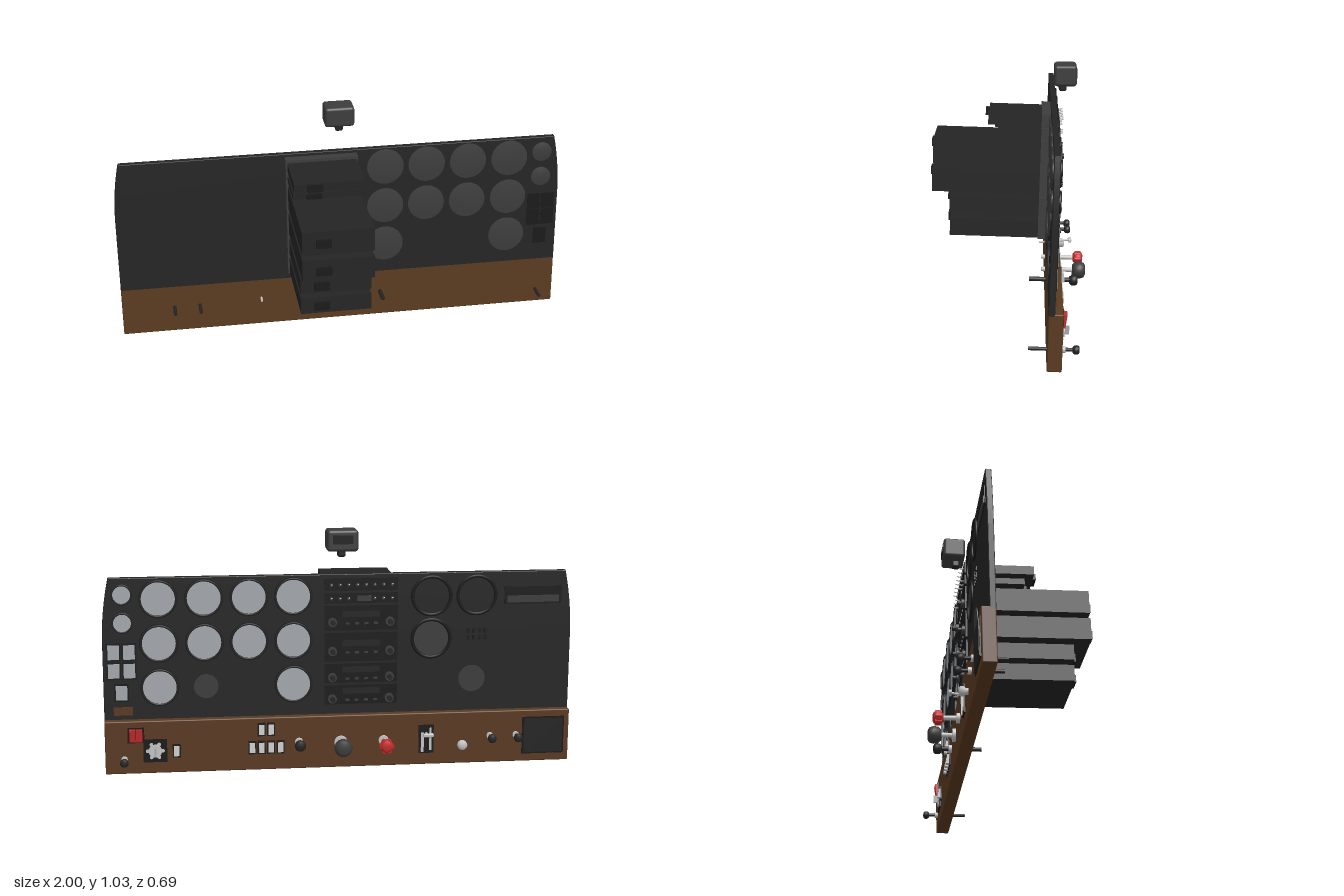
import * as THREE from 'three';
import { RoundedBoxGeometry } from 'three/addons/geometries/RoundedBoxGeometry.js';

const material = (name, color, side = THREE.FrontSide) => {
  const m = new THREE.MeshStandardMaterial({ color, side });
  m.name = name;
  return m;
};

export function createModel() {
  const model = new THREE.Group();
  model.name = 'instrumentPanel';
  const black = material('panelBlack', 0x242424);
  const deep = material('deepBlack', 0x191919);
  const grey = material('darkGrey', 0x3c3c3c);
  const wood = material('wood', 0x5a3a20);
  const dial = material('dialGrey', 0xa4a9af);
  const silver = material('silver', 0xc4c4c4);
  const red = material('red', 0xc42a2a);

  // Everything but the compass leans back slightly; the pilot's side is -z
  const panel = new THREE.Group();
  panel.name = 'leaningPanel';
  panel.position.z = -0.178;
  panel.rotation.x = -0.03;
  model.add(panel);
  const FACE = -0.0125, BACK = 0.0125, WOOD = -0.0455;

  const add = (name, geo, mat, x, y, z, parent = panel) => {
    const m = new THREE.Mesh(geo, mat);
    m.name = name;
    m.position.set(x, y, z);
    parent.add(m);
    return m;
  };
  // Box between depths z0 < z1
  const box = (name, mat, x, y, w, h, z0, z1) =>
    add(name, new THREE.BoxGeometry(w, h, z1 - z0), mat, x, y, (z0 + z1) / 2);
  // Cylinder lying along z
  const rod = (name, mat, x, y, r, z0, z1, sides = 32) =>
    add(name, new THREE.CylinderGeometry(r, r, z1 - z0, sides).rotateX(Math.PI / 2), mat, x, y, (z0 + z1) / 2);
  // Turned part growing towards the pilot from depth z; profile is [radius, distance]
  const turned = (name, mat, x, y, z, profile) =>
    add(name, new THREE.LatheGeometry(profile.map(p => new THREE.Vector2(...p)), 24).rotateX(-Math.PI / 2), mat, x, y, z);
  const ring = (name, mat, x, y, r, tube, z) =>
    add(name, new THREE.TorusGeometry(r, tube, 8, 40), mat, x, y, z);
  const rounded = (name, mat, x, y, w, h, z0, z1, r) =>
    add(name, new RoundedBoxGeometry(w, h, z1 - z0, 3, r), mat, x, y, (z0 + z1) / 2);

  // Main board with curved upper ends
  const s = new THREE.Shape();
  s.moveTo(-1, 0.225);
  s.lineTo(1, 0.225);
  s.lineTo(1, 0.58);
  s.quadraticCurveTo(0.998, 0.71, 0.97, 0.84);
  s.lineTo(-0.97, 0.84);
  s.quadraticCurveTo(-0.998, 0.71, -1, 0.58);
  const board = new THREE.ExtrudeGeometry(s, {
    depth: 0.019, bevelEnabled: true, bevelSize: 0.003, bevelOffset: -0.003, bevelThickness: 0.003, bevelSegments: 2,
  });
  add('mainBoard', board, black, 0, 0, -0.0095);
  rounded('woodenLowerPanel', wood, 0, 0.118, 2, 0.23, WOOD, 0.0125, 0.005);

  // Round instruments: dished can at the back, ring and dial at the pilot's side
  const gauge = (x, y, r) => {
    const can = add('instrumentBack', new THREE.LatheGeometry(
      [[r, 0], [r, 0.008], [0, 0.008]].map(p => new THREE.Vector2(...p)), 40).rotateX(Math.PI / 2), grey, x, y, BACK);
    can.material = grey;
    rod('instrumentBezel', deep, x, y, r, FACE - 0.004, FACE, 40);
    rod('instrumentDial', dial, x, y, r * 0.86, FACE - 0.006, FACE - 0.003, 40);
    ring('instrumentRim', black, x, y, r * 0.92, 0.004, FACE - 0.005);
  };
  for (const x of [0.2, 0.387, 0.575, 0.765]) for (const y of [0.75, 0.56]) gauge(x, y, 0.082);
  for (const x of [0.2, 0.765]) gauge(x, 0.37, 0.082);
  for (const y of [0.77, 0.65]) gauge(0.915, y, 0.044);

  // Rectangular instruments
  for (const [x, y] of [[0.89, 0.525], [0.955, 0.525], [0.89, 0.445], [0.955, 0.445], [0.925, 0.35]]) {
    box('smallInstrumentCase', deep, x, y, 0.06, 0.076, FACE - 0.004, BACK + 0.003);
    box('smallInstrumentDial', dial, x, y, 0.048, 0.062, FACE - 0.006, FACE - 0.003);
  }
  box('brownPlacard', wood, 0.92, 0.27, 0.08, 0.035, FACE - 0.006, FACE);

  // Blank covers and empty instrument places
  for (const [x, y] of [[-0.39, 0.74], [-0.585, 0.74], [-0.39, 0.555]]) {
    ring('blankRing', deep, x, y, 0.082, 0.007, FACE - 0.002);
    if (y < 0.6) rod('blankCover', grey, x, y, 0.074, FACE - 0.003, FACE);
  }
  rod('smallCover', grey, 0.57, 0.37, 0.052, FACE - 0.004, FACE);
  rod('smallCover', grey, -0.57, 0.375, 0.058, FACE - 0.004, FACE);
  box('slotFrame', deep, -0.83, 0.735, 0.25, 0.075, FACE - 0.004, FACE);
  box('slotLid', grey, -0.83, 0.72, 0.225, 0.03, FACE - 0.007, FACE);
  for (let i = 0; i < 4; i++) for (const y of [0.555, 0.585])
    box('ventSlat', deep, -0.55 - i * 0.025, y, 0.012, 0.02, FACE - 0.004, FACE);

  // Radio stack: [tray bottom, tray top, box bottom, box top, box rear]
  const X = -0.088;
  const radios = [
    [0.766, 0.825, 0.772, 0.812, 0.282], [0.712, 0.762, 0.723, 0.75, 0.24],
    [0.595, 0.708, 0.595, 0.7, 0.517], [0.46, 0.591, 0.47, 0.57, 0.519],
    [0.366, 0.456, 0.373, 0.443, 0.44], [0.272, 0.362, 0.275, 0.348, 0.437],
  ];
  radios.forEach(([t0, t1, b0, b1, rear], i) => {
    const ty = (t0 + t1) / 2, by = (b0 + b1) / 2, bh = b1 - b0;
    box('radioTray', grey, X, ty, 0.32, t1 - t0, BACK - 0.002, 0.052);
    box('radioBody', black, X, by, 0.305, bh, 0.04, rear);
    box('radioConnector', deep, -0.15, by, 0.066, Math.min(0.034, bh * 0.7), rear, rear + 0.016);
    box('radioFace', deep, X, ty, 0.312, t1 - t0 - 0.008, FACE - 0.008, FACE);
    if (i < 2) {
      // Row of small toggles
      for (let k = 0; k < 8; k++) {
        const x = 0.04 - k * 0.037;
        if (i === 1 && k > 2 && k < 5) continue;
        rod('toggleNut', grey, x, ty, 0.007, FACE - 0.014, FACE, 12);
        const t = rod('toggleLever', silver, x, ty + 0.003, 0.0025, FACE - 0.03, FACE - 0.01, 8);
        t.rotation.x = 0.25;
      }
      if (i === 1) box('radioDisplay', grey, -0.1, ty, 0.06, 0.024, FACE - 0.012, FACE);
    } else {
      for (const x of [0.035, -0.21]) {
        rod('radioOuterKnob', grey, x, ty - 0.015, 0.019, FACE - 0.022, FACE, 20);
        rod('radioInnerKnob', black, x, ty - 0.015, 0.011, FACE - 0.037, FACE, 20);
      }
      box('radioWindow', black, X, ty + 0.018, 0.16, 0.026, FACE - 0.011, FACE);
      for (const x of [-0.03, -0.07, -0.11, -0.15])
        box('radioButton', grey, x, ty - 0.022, 0.016, 0.009, FACE - 0.013, FACE);
    }
  });

  // Push-pull controls: shaft through the wood, collar and knob
  const control = (name, x, y, mat, r, end, rear, shaftMat = black) => {
    rod(name + 'Collar', silver, x, y, r * 0.75, WOOD - 0.014, WOOD, 20);
    rod(name + 'Shaft', shaftMat, x, y, Math.min(0.01, r * 0.4), WOOD - end + 0.01, rear, 16);
    const d = r * 1.5;
    turned(name + 'Knob', mat, x, y, WOOD - end + d,
      [[0, 0], [r * 0.6, 0], [r * 0.95, d * 0.25], [r, d * 0.6], [r * 0.85, d * 0.9], [r * 0.55, d], [0, d]]);
  };
  control('cabinHeat', -0.765, 0.125, black, 0.019, 0.068, 0.085);
  control('cabinAir', -0.65, 0.125, black, 0.019, 0.068, 0.085);
  control('mixture', -0.185, 0.118, red, 0.029, 0.112, 0.03, silver);
  control('throttle', 0, 0.115, grey, 0.038, 0.118, 0.03, silver);
  control('carburettorHeat', 0.18, 0.122, black, 0.024, 0.08, 0.085);
  control('parkingBrake', 0.92, 0.068, black, 0.018, 0.068, 0.085);
  for (let i = 0; i < 6; i++) {
    const a = i * Math.PI / 3;
    rod('mixtureGrip', red, -0.185 + 0.022 * Math.cos(a), 0.118 + 0.022 * Math.sin(a), 0.01, WOOD - 0.104, WOOD - 0.076, 12);
  }
  turned('primerKnob', silver, -0.525, 0.092, WOOD, [[0.014, 0], [0.014, 0.012], [0.021, 0.018], [0.021, 0.032], [0.012, 0.038], [0, 0.038]]);

  // Flap selector with lever
  box('flapPlate', deep, -0.37, 0.118, 0.065, 0.125, WOOD - 0.006, WOOD);
  box('flapScale', silver, -0.388, 0.118, 0.01, 0.1, WOOD - 0.009, WOOD);
  box('flapGuide', silver, -0.353, 0.105, 0.012, 0.085, WOOD - 0.012, WOOD);
  rod('flapLever', silver, -0.37, 0.142, 0.005, WOOD - 0.055, 0.04, 12).rotation.x = 0.12;
  rounded('flapHandle', silver, -0.37, 0.15, 0.045, 0.016, WOOD - 0.066, WOOD - 0.05, 0.005);

  // Rocker switches
  const rocker = (x, y) => {
    box('rockerFrame', deep, x, y, 0.034, 0.058, WOOD - 0.005, WOOD);
    box('rockerSwitch', silver, x, y, 0.023, 0.042, WOOD - 0.016, WOOD).rotation.x = 0.15;
  };
  for (const x of [0.3, 0.34]) rocker(x, 0.182);
  for (const x of [0.26, 0.3, 0.34, 0.38]) rocker(x, 0.103);
  rocker(0.7, 0.1);

  // Master switch and starter key switch
  box('masterFrame', deep, 0.87, 0.172, 0.07, 0.066, WOOD - 0.004, WOOD);
  for (const x of [0.856, 0.884])
    box('masterSwitch', red, x, 0.172, 0.026, 0.054, WOOD - 0.014, WOOD).rotation.x = -0.12;
  box('starterPlate', deep, 0.79, 0.103, 0.1, 0.1, WOOD - 0.005, WOOD);
  rod('starterDisc', silver, 0.79, 0.103, 0.028, WOOD - 0.012, WOOD, 24);
  for (let i = 0; i < 6; i++) {
    const a = i * Math.PI / 3;
    rod('starterMark', silver, 0.79 + 0.032 * Math.cos(a), 0.103 + 0.032 * Math.sin(a), 0.008, WOOD - 0.008, WOOD, 10);
  }
  box('starterKey', dial, 0.79, 0.103, 0.008, 0.034, WOOD - 0.03, WOOD);

  // Glove box door
  box('gloveBoxFrame', deep, -0.885, 0.12, 0.185, 0.165, WOOD - 0.004, WOOD);
  box('gloveBoxDoor', black, -0.885, 0.12, 0.17, 0.15, WOOD - 0.008, WOOD);

  // Compass floating above the board
  add('compassCase', new RoundedBoxGeometry(0.13, 0.09, 0.097, 4, 0.013), grey, 0, 0.99, -0.251, model);
  add('compassWindow', new THREE.BoxGeometry(0.085, 0.036, 0.006), deep, 0, 0.995, -0.299, model);
  add('compassFoot', new RoundedBoxGeometry(0.034, 0.036, 0.034, 3, 0.009), black, 0, 0.935, -0.24, model);

  return model;
}
